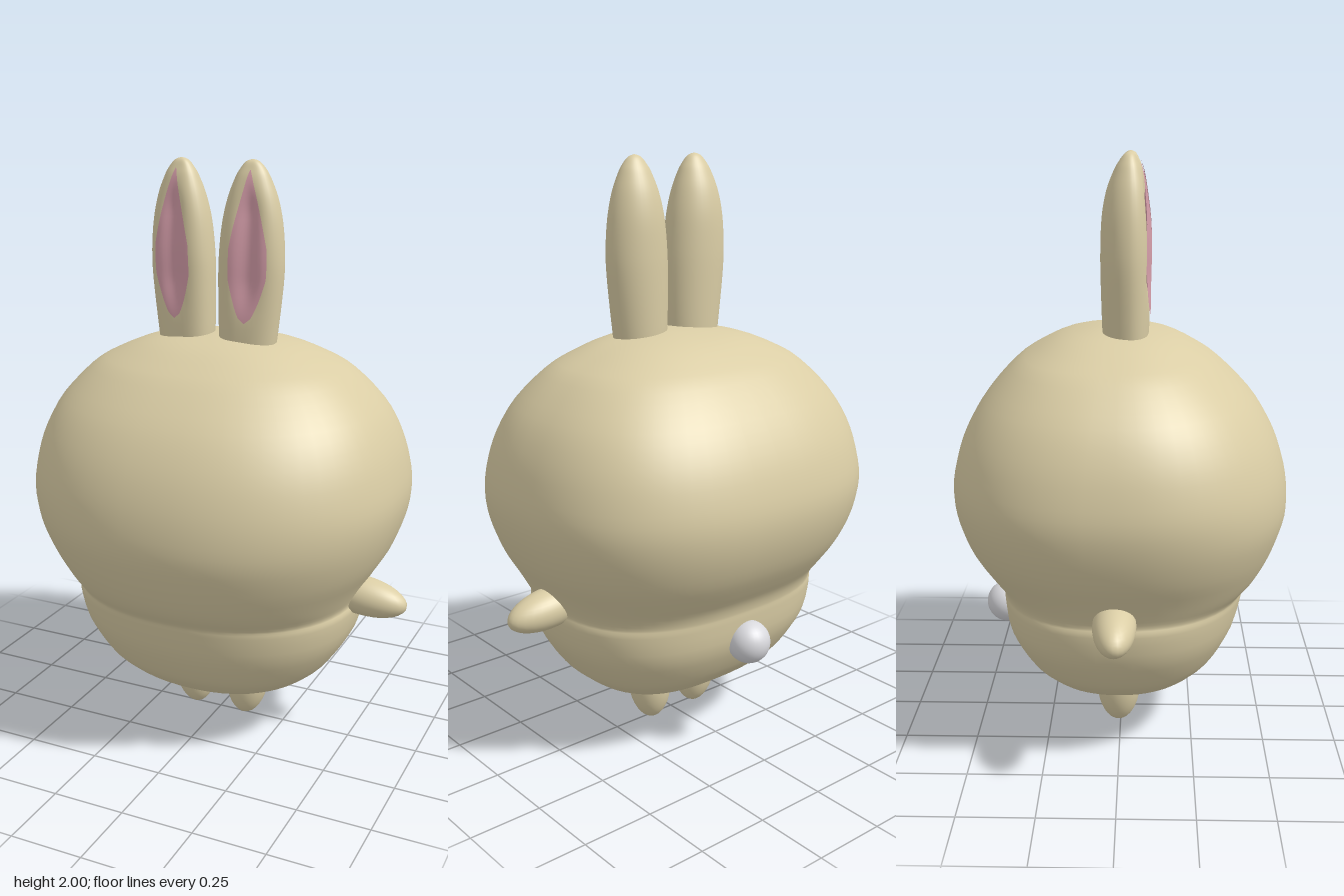
import * as THREE from 'three';

const fur = new THREE.MeshStandardMaterial({ name: 'cream fur', color: 0xdacda5 });
const pink = new THREE.MeshStandardMaterial({ name: 'ear pink', color: 0xd79fab, side: THREE.DoubleSide });
const white = new THREE.MeshStandardMaterial({ name: 'tail white', color: 0xd9d9dd });

// Smoothly subdivides rows of section numbers (Catmull-Rom).
function refine(rows, steps) {
  const out = [];
  const last = rows.length - 1;
  for (let i = 0; i < last; i++) {
    const [a, b, c, d] = [rows[Math.max(i - 1, 0)], rows[i], rows[i + 1], rows[Math.min(i + 2, last)]];
    for (let s = 0; s < steps; s++) {
      const t = s / steps;
      out.push(b.map((_, k) => 0.5 * (2 * b[k] + (c[k] - a[k]) * t
        + (2 * a[k] - 5 * b[k] + 4 * c[k] - d[k]) * t * t
        + (3 * b[k] - a[k] - 3 * c[k] + d[k]) * t * t * t)));
    }
  }
  out.push(rows[last]);
  return out;
}

// Grid surface from rows of points; closed rows wrap around without a seam.
function skin(rows, closed) {
  const n = rows[0].length;
  const index = [];
  for (let i = 0; i < rows.length - 1; i++) {
    for (let j = 0; j < (closed ? n : n - 1); j++) {
      const a = i * n + j, b = i * n + (j + 1) % n;
      index.push(a, b, a + n, b, b + n, a + n);
    }
  }
  const geo = new THREE.BufferGeometry();
  geo.setAttribute('position', new THREE.Float32BufferAttribute(rows.flat(2), 3));
  geo.setIndex(index);
  geo.computeVertexNormals();
  return geo;
}

function addMesh(parent, name, geo, mat) {
  const mesh = new THREE.Mesh(geo, mat);
  mesh.name = name;
  parent.add(mesh);
  return mesh;
}

const power = (v, p) => Math.sign(v) * Math.abs(v) ** p;

// Head and body sections, top to bottom: y, half width, front depth, back depth
const BODY = [
  [1.43, 0.001, 0.001, 0.001], [1.425, 0.11, 0.075, 0.085], [1.4, 0.255, 0.18, 0.2],
  [1.35, 0.38, 0.275, 0.3], [1.3, 0.46, 0.345, 0.37], [1.2, 0.555, 0.445, 0.46],
  [1.1, 0.61, 0.51, 0.52], [1, 0.64, 0.55, 0.555], [0.9, 0.652, 0.57, 0.57],
  [0.8, 0.635, 0.57, 0.555], [0.7, 0.597, 0.54, 0.515], [0.62, 0.55, 0.505, 0.462],
  [0.57, 0.523, 0.473, 0.425], [0.53, 0.506, 0.437, 0.41], [0.5, 0.512, 0.43, 0.408],
  [0.4, 0.49, 0.405, 0.393], [0.3, 0.43, 0.355, 0.34], [0.25, 0.383, 0.313, 0.295],
  [0.2, 0.31, 0.25, 0.23], [0.15, 0.18, 0.15, 0.13], [0.133, 0.09, 0.08, 0.07],
  [0.127, 0.001, 0.001, 0.001],
];

function bodyGeometry() {
  const sides = 56;
  return skin(refine(BODY, 3).map(([y, w, front, back]) =>
    Array.from({ length: sides }, (_, j) => {
      const a = (j / sides) * Math.PI * 2;
      const s = Math.sin(a);
      const p = 2 / (s > 0 ? 2.2 : 2.55);
      return [w * power(Math.cos(a), p), y, (s > 0 ? front : back) * power(s, p)];
    })), true);
}

// Ear sections, top to bottom: y, inner x, outer x, front z, back z
const EAR = refine([
  [2, 0.126, 0.128, 0.031, 0.029], [1.992, 0.104, 0.15, 0.046, 0.012], [1.97, 0.085, 0.17, 0.058, -0.005],
  [1.94, 0.068, 0.187, 0.07, -0.022], [1.88, 0.045, 0.21, 0.085, -0.045], [1.8, 0.026, 0.227, 0.095, -0.06],
  [1.7, 0.015, 0.235, 0.1, -0.065], [1.6, 0.012, 0.232, 0.098, -0.065],
  [1.42, 0.015, 0.212, 0.093, -0.06], [1.34, 0.025, 0.2, 0.088, -0.055],
], 4);

// Front of the ear: broad and flattened, with a shallow hollow; u runs outward
function earFront(u, y, front) {
  const hollow = THREE.MathUtils.smoothstep(y, 1.48, 1.62) * (1 - THREE.MathUtils.smoothstep(y, 1.82, 1.95));
  const dent = 0.018 * hollow * Math.exp(-(((u - 0.1) / 0.35) ** 2));
  return 0.03 + (front - 0.03) * Math.max(0, 1 - Math.abs(u) ** 3) ** 0.5 * (1 - 0.12 * u) - dent;
}

function addEar(group, side) {
  const ear = new THREE.Group();
  ear.name = side > 0 ? 'leftEar' : 'rightEar';
  group.add(ear);
  const sides = 36;
  addMesh(ear, 'earShell', skin(EAR.map(([y, x0, x1, front, back]) =>
    Array.from({ length: sides }, (_, j) => {
      const a = (j / sides) * Math.PI * 2;
      const u = Math.cos(a) * side, s = Math.sin(a);
      const x = side * ((x0 + x1) / 2 + (u * (x1 - x0)) / 2);
      return [x, y, s > 0 ? earFront(u, y, front) : 0.03 + (0.03 - back) * s];
    })), true), fur);

  // Pink lining follows the front of the ear
  const rows = [];
  for (let i = 0; i <= 28; i++) {
    const t = 1 - i / 28;
    const y = 1.48 + 0.49 * t;
    const k = EAR.findIndex((r) => r[0] <= y);
    const hi = EAR[k - 1], lo = EAR[k];
    const f = (hi[0] - y) / (hi[0] - lo[0]);
    const [, x0, x1, front] = hi.map((v, m) => v + (lo[m] - v) * f);
    const half = 0.58 * Math.min(1, (t / 0.3) ** 0.5) * Math.min(1, ((1 - t) / 0.5) ** 0.6);
    rows.push(Array.from({ length: 13 }, (_, j) => {
      const u = 0.1 + half * (1 - j / 6) * side;
      return [side * ((x0 + x1) / 2 + (u * (x1 - x0)) / 2), y, earFront(u, y, front) + 0.004];
    }));
  }
  // Rows run from +x to -x; reverse them so the lining faces forward
  addMesh(ear, 'earLining', skin(rows.map((r) => r.reverse()), false), pink);
}

export function createModel() {
  const group = new THREE.Group();
  group.name = 'rabbit';
  addMesh(group, 'headAndBody', bodyGeometry(), fur);

  const ball = new THREE.SphereGeometry(1, 28, 20);
  for (const side of [1, -1]) {
    const label = side > 0 ? 'left' : 'right';
    addEar(group, side);

    // Stubby arm, drooping slightly
    const arm = addMesh(group, label + 'Arm', ball, fur);
    arm.scale.set(0.16, 0.067, 0.07);
    arm.position.set(side * 0.53, 0.553, -0.01);
    arm.rotation.z = -side * 0.12;

    // Short rounded foot
    const foot = addMesh(group, label + 'Foot', ball, fur);
    foot.scale.set(0.077, 0.148, 0.077);
    foot.position.set(side * 0.107, 0.152, -0.007);
    foot.rotation.z = -side * 0.08;
  }

  // Round tail
  const tail = addMesh(group, 'tail', ball, white);
  tail.scale.setScalar(0.073);
  tail.position.set(0, 0.415, -0.412);
  return group;
}
